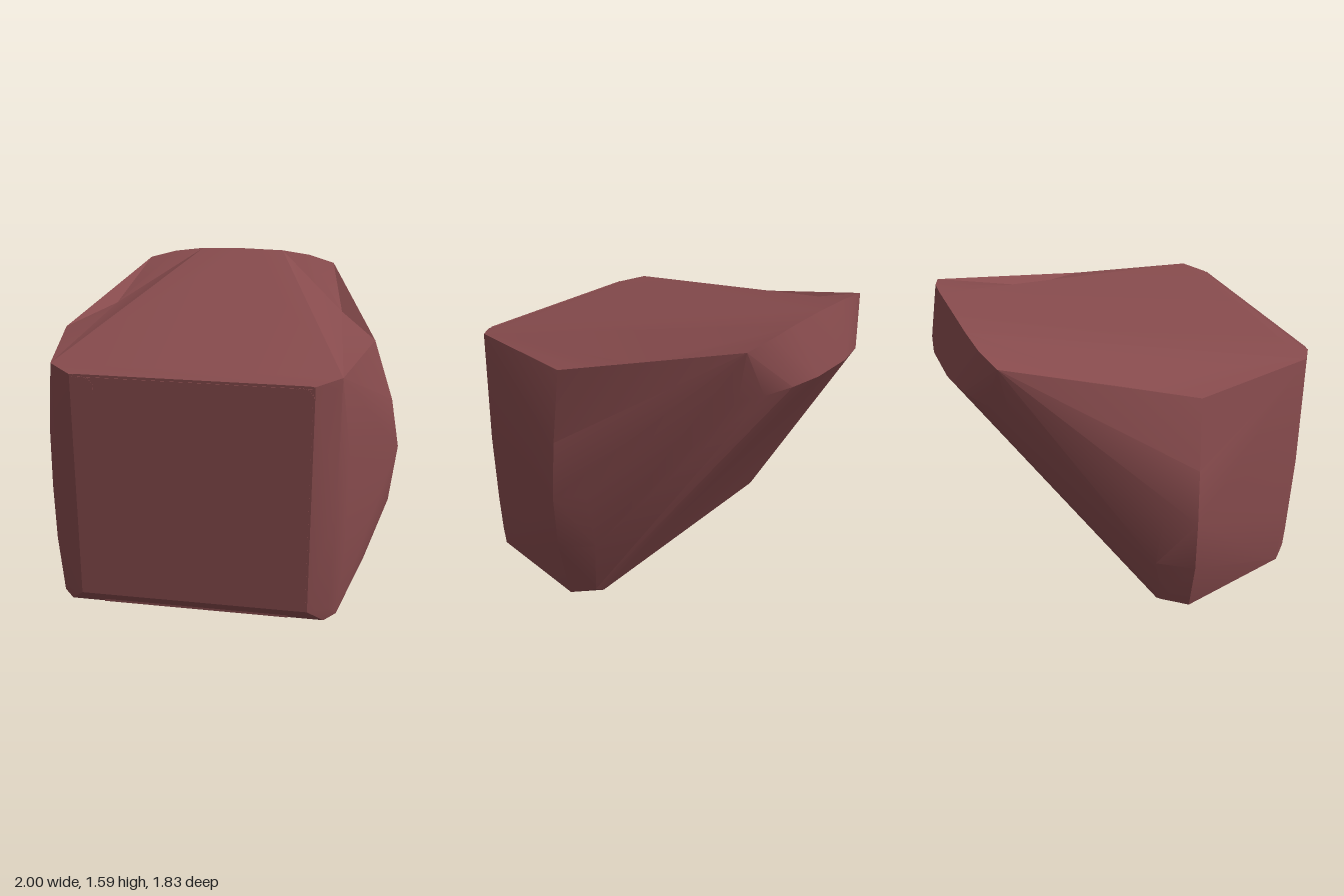
import * as THREE from 'three';
import { ConvexGeometry } from 'three/addons/geometries/ConvexGeometry.js';
import { toCreasedNormals } from 'three/addons/utils/BufferGeometryUtils.js';

const material = new THREE.MeshStandardMaterial({ color: 0x874b4d, side: THREE.DoubleSide });
const v = (x, y, z) => new THREE.Vector3(x, y, z);
const flip = (p) => v(-p.x, p.y, p.z);

// Corners of the sloping shoulder panel, counter-clockwise from above, and the low point of its fold
const shoulder = [
  v(0.7, 1.33, 0.82), v(0.84, 1.32, 0.15), v(0.57, 1.53, -0.77),
  v(0.42, 1.565, -0.815), v(0.25, 1.585, -0.83),
];
const fold = v(0.65, 1.37, -0.22);

// Remaining outline points of one half
const half = [
  // front panel
  v(0.58, 1.31, 0.91), v(0.58, 0.12, 0.91),
  // rounded front corner
  v(0.69, 1.28, 0.83), v(0.7, 0.7, 0.835), v(0.68, 0.1, 0.83), v(0.66, 0.03, 0.83),
  v(0.745, 0.95, 0.77), v(0.75, 0.65, 0.77), v(0.745, 0.35, 0.77), v(0.72, 0.04, 0.77),
  // bulging side
  v(0.95, 0.98, 0.1), v(1, 0.7, 0.08), v(0.965, 0.38, 0.1), v(0.85, 0.02, 0.14),
  v(0.92, 0.72, -0.07), v(0.89, 0.42, -0.09), v(0.81, 0.08, -0.01),
  // underside
  v(0.75, 0.04, -0.01), v(0.35, 0.0, 0.35), v(0.35, 0.01, 0.17),
  // lower edge of the rear rim
  v(0.14, 1.31, -0.915), v(0.33, 1.31, -0.88), v(0.47, 1.295, -0.81),
  v(0.56, 1.27, -0.72), v(0.625, 1.23, -0.58),
];

function bodyGeometry() {
  const all = [...shoulder, ...half];
  const hull = new ConvexGeometry([...all, ...all.map(flip), v(0, 1.59, -0.832)]);
  const pos = hull.getAttribute('position');
  const loops = [shoulder, shoulder.map(flip)];
  const out = [];
  // Keep the hull except for the two flat shoulder panels
  for (let i = 0; i < pos.count; i += 3) {
    const tri = [0, 1, 2].map((k) => new THREE.Vector3().fromBufferAttribute(pos, i + k));
    const onPanel = loops.some((l) => tri.every((p) => l.some((q) => q.distanceTo(p) < 1e-4)));
    if (!onPanel) tri.forEach((p) => out.push(...p.toArray()));
  }
  // Refill each shoulder with a fan sunk to the fold
  shoulder.forEach((a, i) => {
    const b = shoulder[(i + 1) % shoulder.length];
    for (const p of [fold, a, b, flip(fold), flip(b), flip(a)]) out.push(...p.toArray());
  });
  const geometry = new THREE.BufferGeometry();
  geometry.setAttribute('position', new THREE.Float32BufferAttribute(out, 3));
  return toCreasedNormals(geometry, 0.45);
}

export function createModel() {
  const group = new THREE.Group();
  const add = (name, geometry, x = 0, y = 0, z = 0) => {
    const mesh = new THREE.Mesh(geometry, material);
    mesh.name = name;
    mesh.position.set(x, y, z);
    group.add(mesh);
    return mesh;
  };

  add('body', bodyGeometry());

  // Flush front panel with a thin strip above it
  add('frontPanel', new THREE.BoxGeometry(1.14, 1.17, 0.01), 0, 0.715, 0.908);
  add('topStrip', new THREE.BoxGeometry(1.12, 0.012, 0.02), 0, 1.307, 0.902);

  // Round studs in the upper panel corners
  for (const side of [-1, 1]) {
    const stud = add(side > 0 ? 'leftStud' : 'rightStud',
      new THREE.CylinderGeometry(0.058, 0.058, 0.008, 10), side * 0.52, 1.245, 0.911);
    stud.rotation.x = Math.PI / 2;
  }

  // Slim lip along the lower front bevel
  add('lowerLip', new THREE.BoxGeometry(0.96, 0.02, 0.02), 0, 0.05, 0.84);
  return group;
}
